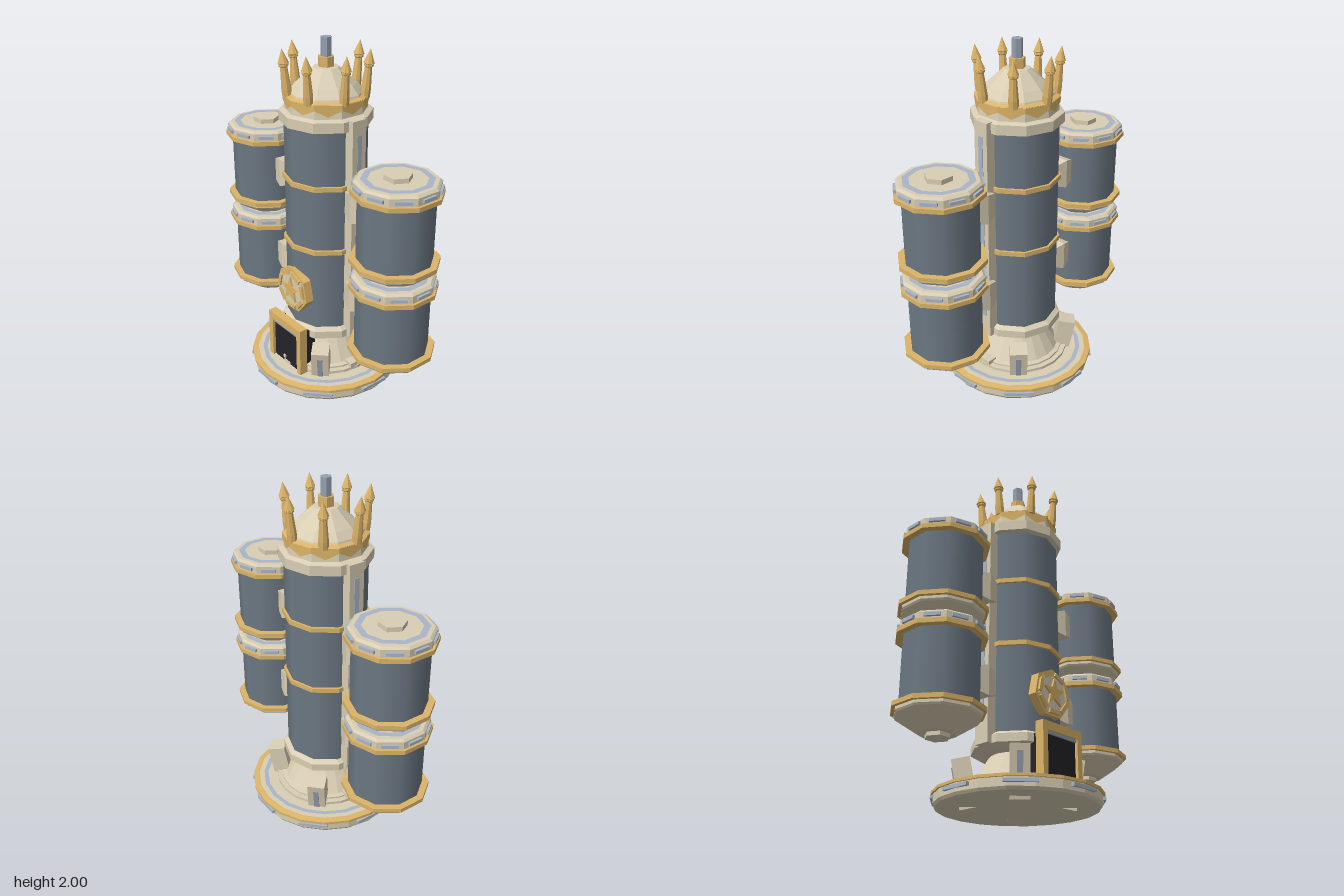
import * as THREE from 'three';

const mat = (color, flatShading = true) =>
  new THREE.MeshStandardMaterial({ color, flatShading, side: THREE.DoubleSide });
const cream = mat(0xd9ceb4), gold = mat(0xdcb468), slate = mat(0x6c7883, false);
const blue = mat(0xa9b6c8), steel = mat(0x95a1b0), black = mat(0x242428);

function add(parent, name, geometry, material, x = 0, y = 0, z = 0) {
  const m = new THREE.Mesh(geometry, material);
  m.name = name;
  m.position.set(x, y, z);
  parent.add(m);
  return m;
}

// Faceted solid of revolution from [radius, y] pairs, bottom to top
const turned = (pts, sides = 10) =>
  new THREE.LatheGeometry(pts.map(([r, y]) => new THREE.Vector2(r, y)), sides);

const band = (r, y0, y1, sides = 10) => turned([[0, y0], [r, y0], [r, y1], [0, y1]], sides);

const flatRing = (r0, r1, sides) => new THREE.RingGeometry(r0, r1, sides).rotateX(-Math.PI / 2);

const box = (w, h, d) => new THREE.BoxGeometry(w, h, d);

// Call build with an angle group for each of n directions around the y axis
function around(parent, name, n, offset, build) {
  for (let i = 0; i < n; i++) {
    const g = new THREE.Group();
    g.name = name;
    g.rotation.y = offset + (i / n) * Math.PI * 2;
    build(g);
    parent.add(g);
  }
}

function createBase(root) {
  const g = new THREE.Group();
  g.name = 'base';
  root.add(g);
  add(g, 'basePlate', turned([[0, 0.02], [0.43, 0.02], [0.44, 0.035], [0.44, 0.085], [0, 0.085]], 20), cream);
  add(g, 'baseRim', turned([[0.415, 0.08], [0.45, 0.08], [0.45, 0.095], [0.42, 0.1], [0.415, 0.1]], 20), gold);
  add(g, 'baseDeck', band(0.416, 0.08, 0.098, 20), cream);
  add(g, 'baseInlay', flatRing(0.36, 0.385, 20), blue, 0, 0.1, 0);
  add(g, 'baseStep', band(0.3, 0.09, 0.115, 20), cream);
  add(g, 'pedestal', turned([[0.27, 0.1], [0.27, 0.125], [0.245, 0.13], [0.145, 0.3]], 20), cream);
  around(g, 'basePlaque', 8, 0, p => add(p, 'plaque', box(0.17, 0.018, 0.02), blue, 0, 0.062, 0.437));
  around(g, 'sideStep', 2, Math.PI / 2, p => add(p, 'step', box(0.1, 0.03, 0.06), cream, 0, 0.125, 0.265));

  // Four splayed struts on the diagonals, running through the plate
  around(g, 'strut', 4, Math.PI / 4, p => {
    const s = new THREE.Group();
    s.name = 'strutBody';
    s.position.set(0, 0.145, 0.275);
    s.rotation.x = 0.2;
    add(s, 'strutBlock', box(0.1, 0.27, 0.1), cream);
    add(s, 'strutSlot', box(0.03, 0.15, 0.012), steel, 0, 0.025, 0.05);
    p.add(s);
  });
}

function createTower(root) {
  const g = new THREE.Group();
  g.name = 'tower';
  root.add(g);
  add(g, 'lowerCollar', turned([[0.14, 0.28], [0.2, 0.29], [0.255, 0.31], [0.255, 0.355], [0.225, 0.375]]), cream);
  add(g, 'towerBody', new THREE.CylinderGeometry(0.228, 0.228, 1.2, 10, 1, true), slate, 0, 0.96, 0);
  for (const y of [0.86, 1.24]) add(g, 'towerBand', band(0.242, y - 0.013, y + 0.013), gold);
  add(g, 'upperCollar', turned([[0.22, 1.55], [0.255, 1.56], [0.255, 1.615], [0.225, 1.625], [0.218, 1.7]]), cream);

  // Side rails with a slot
  for (const s of [-1, 1]) {
    add(g, 'rail', box(0.06, 1.31, 0.09), cream, s * 0.243, 0.965, 0);
    add(g, 'railSlot', box(0.008, 1.1, 0.03), blue, s * 0.272, 0.99, 0);
  }

  // Dome, finial and mast
  add(g, 'dome', turned([[0.21, 1.69], [0.2, 1.72], [0.165, 1.76], [0.07, 1.845], [0, 1.85]]), cream);
  add(g, 'finial', band(0.045, 1.84, 1.9, 6), gold);
  add(g, 'mast', band(0.031, 1.85, 2, 6), steel);

  // Crown band with teeth that point down, one per facet
  const crown = new THREE.CylinderGeometry(0.226, 0.23, 0.06, 20, 1, true);
  const p = crown.attributes.position;
  for (let i = 0; i < p.count; i++) {
    const k = i % 21;
    const r = k % 2 ? 0.226 * Math.cos(Math.PI / 10) : 0.226;
    const a = (k / 20) * Math.PI * 2;
    const y = i < 21 ? 0.03 : k % 2 ? -0.035 : 0.0;
    p.setXYZ(i, (r + 0.004) * Math.sin(a), y, (r + 0.004) * Math.cos(a));
  }
  add(g, 'crown', crown, gold, 0, 1.672, 0);
  add(g, 'crownTop', turned([[0.232, 1.7], [0.2, 1.712]]), gold);

  // Seven spires leaning slightly outwards
  around(g, 'spire', 7, Math.PI, q => {
    const s = new THREE.Group();
    s.name = 'spireBody';
    s.position.set(0, 1.69, 0.207);
    s.rotation.x = 0.1;
    add(s, 'spireShaft', turned([[0, 0], [0.026, 0.005], [0.027, 0.05], [0.019, 0.165], [0.026, 0.17], [0.026, 0.18], [0, 0.18]], 8), gold);
    add(s, 'spireTip', turned([[0.012, 0.175], [0.03, 0.185], [0, 0.262]], 8), gold);
    q.add(s);
  });
}

// One tank, with y0 the underside of its lower band
function createTank(parent, y0, name) {
  const g = new THREE.Group();
  g.name = name;
  g.position.y = y0;
  add(g, 'tankBody', new THREE.CylinderGeometry(0.204, 0.204, 0.4, 10, 1, true), slate, 0, 0.21, 0);
  add(g, 'lowerBand', band(0.241, 0, 0.024), gold);
  add(g, 'upperBand', band(0.241, 0.385, 0.41), gold);
  add(g, 'tankCap', turned([[0.226, 0.405], [0.226, 0.452], [0.212, 0.464], [0, 0.464]]), cream);
  add(g, 'capInlay', flatRing(0.155, 0.19, 10).rotateY(Math.PI / 2), blue, 0, 0.466, 0);
  add(g, 'tankHub', band(0.075, 0.46, 0.49, 6).rotateY(Math.PI / 6), cream);
  add(g, 'tankUnderside', turned([[0, -0.105], [0.095, -0.105], [0.215, -0.025], [0.222, -0.015], [0.222, 0.002]]), cream);
  add(g, 'drainHub', band(0.065, -0.125, -0.1, 6).rotateY(Math.PI / 6), cream);
  around(g, 'tankPlaque', 10, Math.PI / 10, p => add(p, 'plaque', box(0.085, 0.018, 0.03), blue, 0, 0.432, 0.213));
  parent.add(g);
}

function createSide(root, s) {
  const g = new THREE.Group();
  g.name = s > 0 ? 'leftTanks' : 'rightTanks';
  root.add(g);
  const stack = new THREE.Group();
  stack.name = 'tankStack';
  stack.position.x = s * 0.565;
  g.add(stack);
  createTank(stack, 0.394, 'lowerTank');
  createTank(stack, 0.934, 'upperTank');

  // Bulging four-sided couplings between tower and tanks
  for (const y of [0.62, 1.165]) {
    const c = turned([[0, 0], [0.085, 0], [0.12, 0.075], [0.092, 0.145], [0, 0.145]], 4)
      .rotateY(Math.PI / 4).rotateZ(-s * Math.PI / 2);
    const m = add(g, 'coupling', c, cream, s * 0.24, y, 0);
    m.scale.set(1, 1, 1.1);
  }
}

function createDoor(root) {
  const g = new THREE.Group();
  g.name = 'entrance';
  root.add(g);
  const frame = new THREE.Shape([[-0.15, 0.1], [-0.115, 0.1], [-0.115, 0.355], [0.115, 0.355], [0.115, 0.1], [0.15, 0.1],
    [0.15, 0.4], [-0.15, 0.4]].map(([x, y]) => new THREE.Vector2(x, y)));
  add(g, 'doorFrame', new THREE.ExtrudeGeometry(frame, { depth: 0.05, bevelEnabled: false }), gold, 0, 0, 0.262);
  add(g, 'door', box(0.23, 0.255, 0.12), black, 0, 0.2275, 0.235);
  add(g, 'doorLintel', box(0.23, 0.014, 0.012), steel, 0, 0.345, 0.3);
  add(g, 'doorHandle', box(0.018, 0.018, 0.012), cream, -0.02, 0.135, 0.297);
}

function createMedallion(root) {
  const g = new THREE.Group();
  g.name = 'medallion';
  g.position.set(0, 0.59, 0.2);
  root.add(g);
  const disc = (r, d) => new THREE.CylinderGeometry(r, r, d, 7).rotateX(Math.PI / 2).rotateZ(Math.PI);
  add(g, 'medallionRim', disc(0.138, 0.05), gold, 0, 0, 0.025);
  add(g, 'medallionFace', disc(0.115, 0.02), cream, 0, 0, 0.045);
  for (let i = 0; i < 7; i++) {
    const a = Math.PI / 2 + ((i + 0.5) / 7) * Math.PI * 2;
    const bar = add(g, 'rimBar', box(0.022, 0.075, 0.02), gold, 0.102 * Math.cos(a), 0.102 * Math.sin(a), 0.054);
    bar.rotation.z = a;
  }
  const star = new THREE.Shape();
  for (let i = 0; i < 10; i++) {
    const r = i % 2 ? 0.034 : 0.08, a = Math.PI / 2 + (i * Math.PI) / 5;
    star[i ? 'lineTo' : 'moveTo'](r * Math.cos(a), r * Math.sin(a));
  }
  add(g, 'star', new THREE.ExtrudeGeometry(star, { depth: 0.014, bevelEnabled: false }), gold, 0, 0, 0.053);
}

export function createModel() {
  const root = new THREE.Group();
  root.name = 'towerWithTanks';
  createBase(root);
  createTower(root);
  for (const s of [-1, 1]) createSide(root, s);
  createDoor(root);
  createMedallion(root);
  return root;
}
